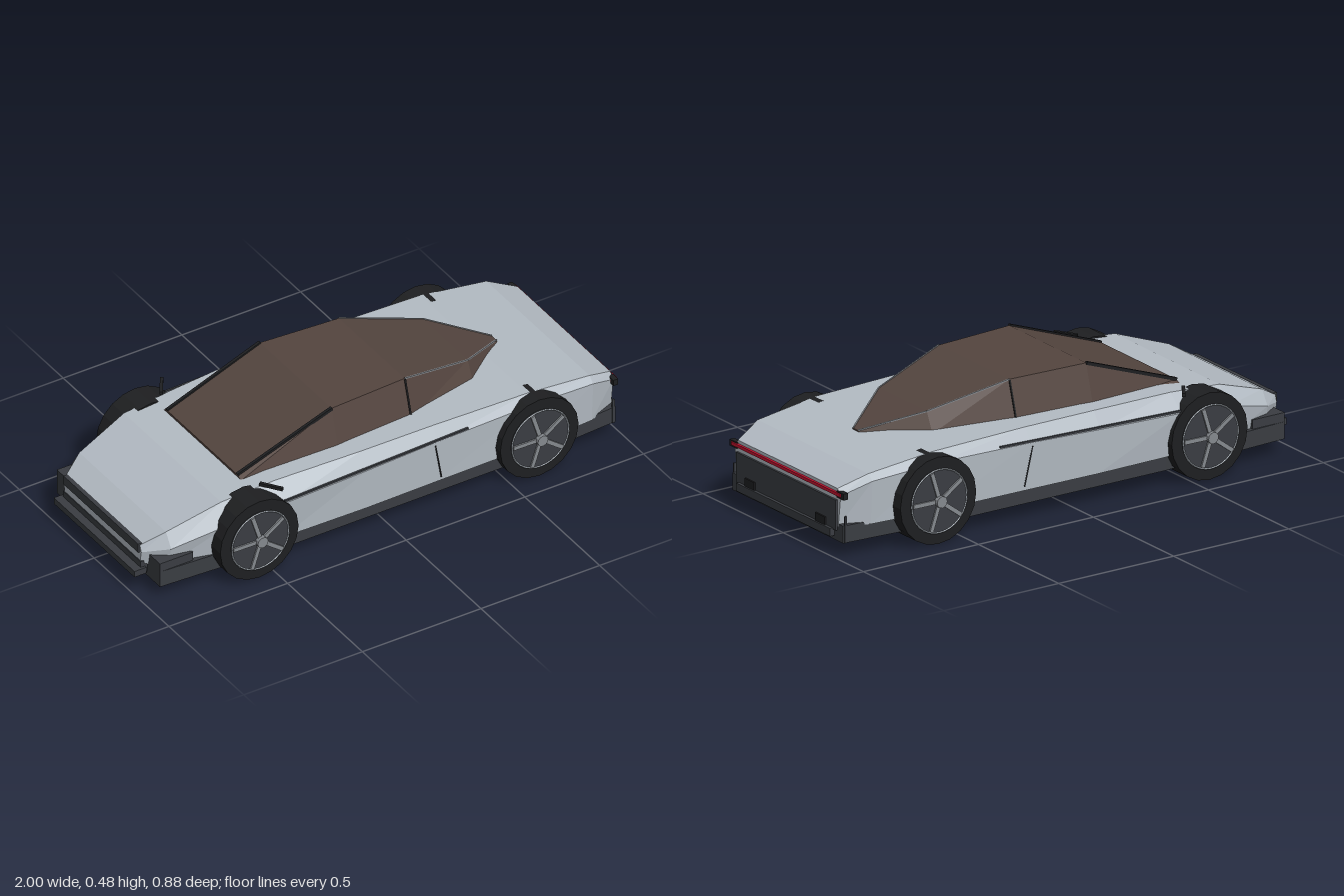
import * as THREE from 'three';

const mat = (color) => new THREE.MeshStandardMaterial({ color, flatShading: true });
const paint = mat(0xb4bcc4), dark = mat(0x3a3d42), black = mat(0x1e1f21);
const glass = mat(0x54453f), red = mat(0xc4122f), metal = mat(0x85898e);

// Joins equal-length cross-sections along x into a closed solid.
function loft(sections) {
  const n = sections[0].length, pos = [], idx = [];
  sections.forEach((s) => s.forEach((p) => pos.push(...p)));
  for (let i = 0; i < sections.length - 1; i++) {
    for (let j = 0; j < n; j++) {
      const k = (j + 1) % n;
      const a = i * n + j, b = a + n, c = (i + 1) * n + k, d = i * n + k;
      idx.push(a, b, c, a, c, d);
    }
  }
  const e = (sections.length - 1) * n;
  for (let j = 1; j < n - 1; j++) idx.push(0, j, j + 1, e, e + j + 1, e + j);
  const g = new THREE.BufferGeometry();
  g.setAttribute('position', new THREE.Float32BufferAttribute(pos, 3));
  g.setIndex(idx);
  const flat = g.toNonIndexed();
  flat.computeVertexNormals();
  return flat;
}

// Mirrors a half section of [z, y] points, listed from bottom to top.
const ring = (x, half) => [
  ...half.map(([z, y]) => [x, y, z]),
  ...half.slice().reverse().map(([z, y]) => [x, y, -z]),
];

function add(parent, name, geometry, material) {
  const m = new THREE.Mesh(geometry, material);
  m.name = name;
  parent.add(m);
  return m;
}

// Box given by its limits on each axis.
function box(parent, name, [x0, x1], [y0, y1], [z0, z1], material) {
  const m = add(parent, name, new THREE.BoxGeometry(x1 - x0, y1 - y0, z1 - z0), material);
  m.position.set((x0 + x1) / 2, (y0 + y1) / 2, (z0 + z1) / 2);
  return m;
}

// Thin strip running between two points.
function strip(parent, name, from, to, w, material) {
  const a = new THREE.Vector3(...from), b = new THREE.Vector3(...to);
  const m = add(parent, name, new THREE.BoxGeometry(w, w, a.distanceTo(b)), material);
  m.position.copy(a).lerp(b, 0.5);
  m.lookAt(b);
  return m;
}

function makeWheel(name) {
  const wheel = new THREE.Group();
  wheel.name = name;
  const disc = (part, r, z0, z1, material, sides) => {
    const g = new THREE.CylinderGeometry(r, r, z1 - z0, sides).rotateX(Math.PI / 2);
    add(wheel, part, g, material).position.z = (z0 + z1) / 2;
  };
  disc('tyre', 0.165, -0.055, 0.055, black, 20);
  disc('rimDisc', 0.12, 0.05, 0.062, dark, 28);
  disc('hub', 0.022, 0.06, 0.08, metal, 12);
  add(wheel, 'rimRing', new THREE.TorusGeometry(0.12, 0.003, 4, 32), paint).position.z = 0.062;
  for (let i = 0; i < 5; i++) {
    const g = new THREE.BoxGeometry(0.016, 0.095, 0.008);
    g.translate(0, 0.068, 0.064).rotateZ((i * Math.PI * 2) / 5 + 0.3);
    add(wheel, 'spoke', g, metal);
  }
  return wheel;
}

export function createModel() {
  const car = new THREE.Group();
  car.name = 'wedgeCar';

  // Body shell: x, half width at sill, at waist, waist height, shoulder half width, shoulder height
  const shell = [
    [-0.965, 0.25, 0.26, 0.17, 0.25, 0.195],
    [-0.88, 0.31, 0.325, 0.19, 0.29, 0.245],
    [-0.67, 0.365, 0.38, 0.25, 0.325, 0.317],
    [-0.45, 0.385, 0.403, 0.275, 0.335, 0.335],
    [-0.1, 0.39, 0.4, 0.285, 0.358, 0.345],
    [0.2, 0.385, 0.395, 0.295, 0.36, 0.345],
    [0.6, 0.38, 0.388, 0.3, 0.358, 0.334],
    [0.87, 0.36, 0.37, 0.28, 0.345, 0.302],
    [0.98, 0.315, 0.33, 0.235, 0.31, 0.258],
  ];
  add(car, 'bodyShell', loft(shell.map(([x, zs, zw, yw, zt, yt]) =>
    ring(x, [[zs, 0.115], [zw, yw], [zt, yt]]))), paint);

  // Sill and underside
  const floor = [[-0.94, 0.345], [-0.4, 0.375], [0.6, 0.372], [0.98, 0.345]];
  add(car, 'underbody', loft(floor.map(([x, z]) => ring(x, [[z, 0.06], [z, 0.125]]))), dark);

  // Glass canopy: x, half width at base, half width at roof edge, roof height
  const canopy = [
    [-0.545, 0.26, 0.235, 0.336],
    [-0.15, 0.285, 0.24, 0.48],
    [0.17, 0.265, 0.22, 0.478],
    [0.48, 0.185, 0.15, 0.4],
    [0.685, 0.02, 0.015, 0.33],
  ];
  add(car, 'canopy', loft(canopy.map(([x, zb, zt, yt]) =>
    ring(x, [[zb, 0.325], [zt, yt]]))), glass);

  for (const s of [1, -1]) {
    // Canopy trim
    const edge = canopy.map(([x, , z, y]) => [x, y, s * z]);
    strip(car, 'windscreenPillar', edge[0], edge[1], 0.012, black);
    for (let i = 2; i < 4; i++) strip(car, 'rearGlassTrim', edge[i], edge[i + 1], 0.005, metal);
    strip(car, 'doorPillar', [0.17, 0.345, s * 0.26], [0.17, 0.475, s * 0.222], 0.006, black);

    // Door lines and small side blades
    strip(car, 'sideCrease', [-0.45, 0.283, s * 0.4], [0.33, 0.303, s * 0.391], 0.007, dark);
    strip(car, 'doorGap', [0.19, 0.28, s * 0.393], [0.22, 0.13, s * 0.386], 0.005, black);
    strip(car, 'sideBlade', [-0.51, 0.34, s * 0.33], [-0.46, 0.342, s * 0.405], 0.012, black);

    // Wheels
    for (const [where, x] of [['front', -0.565], ['rear', 0.615]]) {
      const wheel = makeWheel(where + 'Wheel');
      wheel.position.set(x, 0.168, s * 0.36);
      if (s < 0) wheel.rotation.y = Math.PI;
      car.add(wheel);
    }

    // Rear corner details
    const zs = (a, b) => (s > 0 ? [a, b] : [-b, -a]);
    box(car, 'rearLampEnd', [0.965, 0.985], [0.226, 0.25], zs(0.31, 0.355), black);
    box(car, 'rearCornerFin', [0.965, 0.975], [0.06, 0.16], zs(0.342, 0.348), dark);
    box(car, 'exhaust', [0.97, 0.994], [0.105, 0.135], zs(0.19, 0.25), black);
  }

  // Nose
  box(car, 'frontBumper', [-0.94, -0.8], [0.06, 0.16], [-0.345, 0.345], dark);
  box(car, 'noseLip', [-0.972, -0.955], [0.165, 0.202], [-0.25, 0.25], dark);
  box(car, 'frontGrille', [-0.968, -0.93], [0.08, 0.13], [-0.26, 0.26], dark);
  box(car, 'frontSplitter', [-1, -0.95], [0.08, 0.105], [-0.27, 0.27], dark);

  // Tail
  box(car, 'rearPanel', [0.96, 0.988], [0.1, 0.215], [-0.31, 0.31], dark);
  box(car, 'rearDiffuser', [0.96, 1], [0.075, 0.105], [-0.292, 0.292], dark);
  box(car, 'rearLightBar', [0.965, 0.99], [0.234, 0.246], [-0.34, 0.34], red);

  return car;
}
